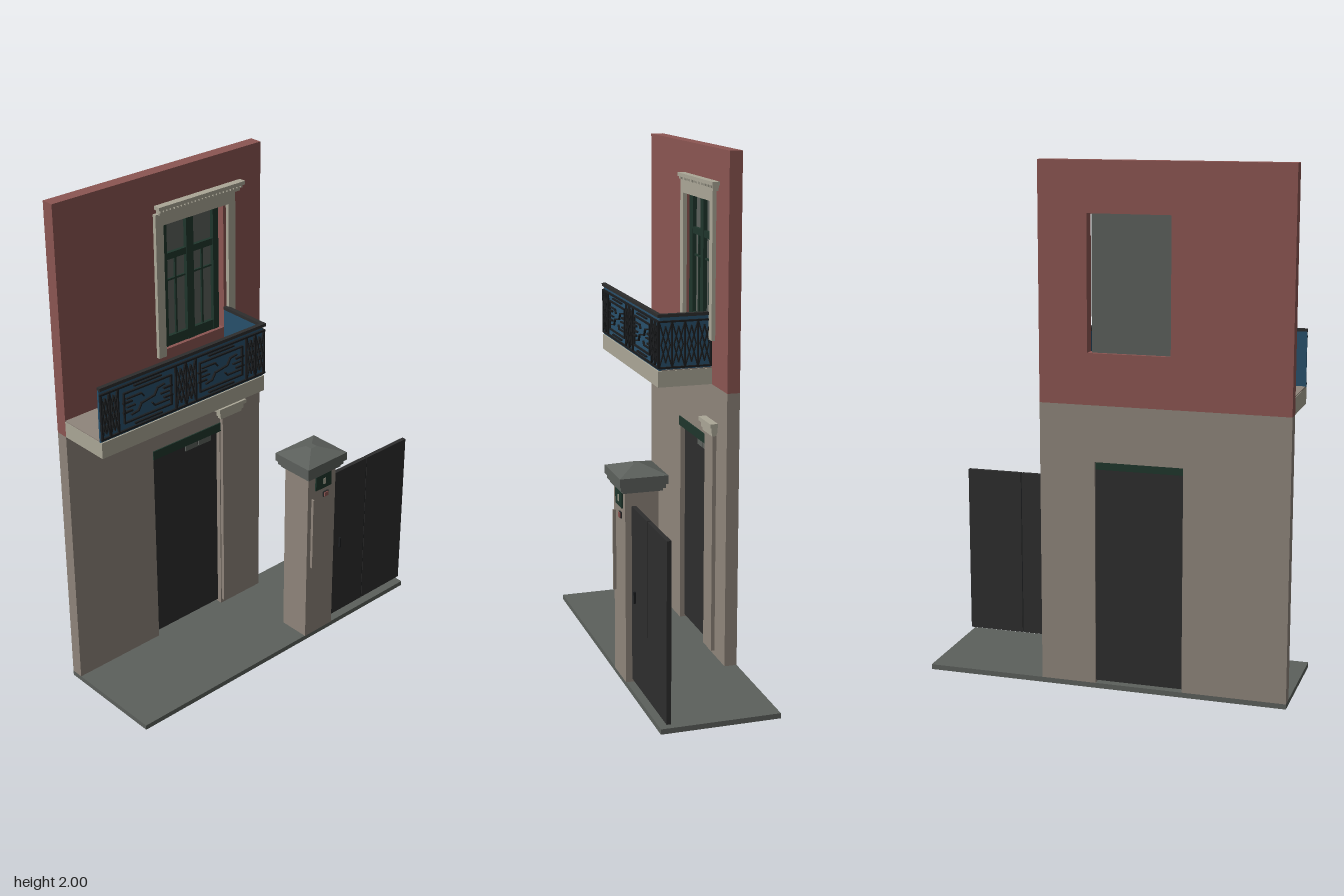
import * as THREE from 'three';

const mat = (name, color) => {
  const m = new THREE.MeshStandardMaterial({ color });
  m.name = name;
  return m;
};

export function createModel() {
  const red = mat('red plaster', 0x8c5652);
  const beige = mat('beige stone', 0x8f857b);
  const cream = mat('cream trim', 0xaba797);
  const grey = mat('grey stone and glass', 0x5c605c);
  const blue = mat('blue panel', 0x28506c);
  const charcoal = mat('charcoal metal', 0x2d2d2d);
  const green = mat('dark green', 0x1f362c);
  const iron = mat('black iron', 0x1b1d1f);

  const model = new THREE.Group();
  model.name = 'houseEntrance';
  const group = (name) => {
    const g = new THREE.Group();
    g.name = name;
    model.add(g);
    return g;
  };
  // Box given by its limits on each axis
  const box = (parent, name, m, x0, x1, y0, y1, z0, z1) => {
    const mesh = new THREE.Mesh(new THREE.BoxGeometry(x1 - x0, y1 - y0, z1 - z0), m);
    mesh.position.set((x0 + x1) / 2, (y0 + y1) / 2, (z0 + z1) / 2);
    mesh.name = name;
    parent.add(mesh);
    return mesh;
  };
  const outline = (pts, Type = THREE.Shape) => new Type(pts.map(([x, y]) => new THREE.Vector2(x, y)));
  const slab = (parent, name, m, shape, z, depth) => {
    const mesh = new THREE.Mesh(new THREE.ExtrudeGeometry(shape, { depth, bevelEnabled: false }), m);
    mesh.position.z = z;
    mesh.name = name;
    parent.add(mesh);
  };

  // Ground and walls with their openings
  box(model, 'ground', grey, -0.71, 0.71, 0, 0.02, -0.245, 0.21);
  const walls = group('walls');
  slab(walls, 'lowerWall', beige, outline([[-0.71, 0.02], [-0.31, 0.02], [-0.31, 0.89], [0.03, 0.89],
    [0.03, 0.02], [0.245, 0.02], [0.245, 1.105], [-0.71, 1.105]]), -0.245, 0.05);
  const upper = outline([[-0.71, 1.105], [0.245, 1.105], [0.245, 2], [-0.71, 2]]);
  upper.holes.push(outline([[-0.26, 1.3], [-0.26, 1.81], [0.058, 1.81], [0.058, 1.3]], THREE.Path));
  slab(walls, 'upperWall', red, upper, -0.245, 0.05);

  // Door, lintel and small plates
  const door = group('door');
  box(door, 'doorLeaf', charcoal, -0.31, 0.03, 0.03, 0.86, -0.237, -0.215);
  box(door, 'doorLintel', green, -0.312, 0.032, 0.853, 0.89, -0.237, -0.19);
  box(door, 'doorPlateLeft', grey, -0.135, -0.073, 0.816, 0.848, -0.215, -0.209);
  box(door, 'doorPlateRight', grey, -0.066, -0.004, 0.816, 0.848, -0.215, -0.209);

  // Pilaster beside the door
  const pilaster = group('pilaster');
  box(pilaster, 'shaft', beige, 0.034, 0.128, 0.04, 0.915, -0.196, -0.18);
  box(pilaster, 'capitalLow', cream, 0.022, 0.132, 0.915, 0.928, -0.196, -0.176);
  box(pilaster, 'capitalMiddle', cream, 0.014, 0.138, 0.928, 0.95, -0.196, -0.171);
  box(pilaster, 'capitalTop', cream, 0.005, 0.146, 0.95, 0.966, -0.196, -0.164);

  // Window
  const win = group('window');
  box(win, 'glass', grey, -0.26, 0.044, 1.3, 1.81, -0.23, -0.224);
  for (const [a, b] of [[-0.245, -0.205], [-0.112, -0.078], [0.018, 0.044]])
    box(win, 'stile', green, a, b, 1.3, 1.81, -0.224, -0.208);
  for (const [a, b] of [[1.3, 1.34], [1.648, 1.674], [1.798, 1.81]])
    box(win, 'rail', green, -0.245, 0.044, a, b, -0.224, -0.21);
  for (const x of [-0.159, -0.03]) {
    box(win, 'uprightBar', green, x - 0.004, x + 0.004, 1.34, 1.65, -0.224, -0.216);
    box(win, 'crossBar', green, x - 0.047, x + 0.047, 1.561, 1.568, -0.224, -0.216);
  }

  // Window surround with a stepped, toothed cornice
  const surround = group('windowSurround');
  box(surround, 'leftJamb', cream, -0.277, -0.241, 1.28, 1.81, -0.196, -0.18);
  box(surround, 'rightJamb', cream, 0.071, 0.105, 1.28, 1.81, -0.196, -0.18);
  box(surround, 'head', cream, -0.277, 0.105, 1.803, 1.85, -0.196, -0.18);
  box(surround, 'corniceLow', cream, -0.262, 0.125, 1.845, 1.858, -0.196, -0.175);
  box(surround, 'corniceTop', cream, -0.27, 0.142, 1.866, 1.88, -0.196, -0.166);
  for (let i = 0; i < 24; i++) {
    const x = -0.262 + i * 0.0168;
    box(surround, 'tooth', cream, x, x + 0.009, 1.856, 1.867, -0.196, -0.17);
  }

  // Balcony slab
  const balcony = group('balcony');
  box(balcony, 'balconySlab', cream, -0.71, 0.07, 1.105, 1.168, -0.195, 0.02);
  box(balcony, 'balconyFloor', beige, -0.709, 0.068, 1.168, 1.172, -0.195, 0.005);

  // Ironwork drawn flat: u runs along the railing, y is up
  const strip = (parent, u0, y0, u1, y1, w = 0.006, depth = 0.008) => {
    const m = new THREE.Mesh(new THREE.BoxGeometry(Math.hypot(u1 - u0, y1 - y0) + w, w, depth), iron);
    m.position.set((u0 + u1) / 2, (y0 + y1) / 2, 0);
    m.rotation.z = Math.atan2(y1 - y0, u1 - u0);
    m.name = 'ironBar';
    parent.add(m);
  };
  const path = (parent, pts, w) => pts.slice(1).forEach((p, i) => strip(parent, ...pts[i], ...p, w));
  const lo = 1.18, hi = 1.357, mid = (lo + hi) / 2;
  const lattice = (parent, a, b, count) => {
    const s = (b - a) / count;
    for (let i = 0; i < count; i++) {
      const u = a + i * s;
      path(parent, [[u, lo], [u, hi]]);
      path(parent, [[u, lo], [u + s, hi]], 0.004);
      path(parent, [[u, hi], [u + s, lo]], 0.004);
      path(parent, [[u + s / 2, lo + 0.02], [u + s * 0.85, mid], [u + s / 2, hi - 0.02],
        [u + s * 0.15, mid], [u + s / 2, lo + 0.02]], 0.004);
    }
    path(parent, [[b, lo], [b, hi]]);
  };
  const fretPanel = (parent, a, b) => {
    const l = a + 0.012, r = b - 0.012, c = (a + b) / 2;
    path(parent, [[l, lo + 0.03], [r, lo + 0.03], [r, hi - 0.03], [l, hi - 0.03], [l, lo + 0.03]]);
    for (const s of [-1, 1]) {
      const p = ([u, y]) => [c + s * u, mid + s * y];
      path(parent, [[0, 0], [0.03, 0.005], [0.045, 0.03], [0.075, 0.035]].map(p), 0.005);
      path(parent, [[0.095, -0.035], [0.03, -0.035], [0.02, -0.022]].map(p), 0.005);
      path(parent, [[0.06, 0], [0.095, 0]].map(p), 0.005);
      for (const y of [-0.02, 0.018]) path(parent, [[0.075, y], [0.11, y]].map(p), 0.007);
      path(parent, [[-0.06, 0.075], [0.06, 0.075]].map(p), 0.006);
    }
  };
  const frontIron = group('frontIronwork');
  frontIron.position.z = 0.018;
  for (const y of [lo, hi]) strip(frontIron, -0.707, y, 0.07, y, 0.007);
  lattice(frontIron, -0.705, -0.63, 2);
  fretPanel(frontIron, -0.615, -0.375);
  lattice(frontIron, -0.365, -0.27, 2);
  fretPanel(frontIron, -0.262, -0.03);
  lattice(frontIron, -0.02, 0.068, 2);
  const sideIron = group('sideIronwork');
  sideIron.position.x = 0.07;
  sideIron.rotation.y = Math.PI / 2;
  for (const y of [lo, hi]) strip(sideIron, -0.018, y, 0.19, y, 0.007);
  lattice(sideIron, -0.016, 0.19, 4);

  // Balcony panels and handrail
  box(balcony, 'frontPanel', blue, -0.71, 0.066, 1.168, 1.376, 0.006, 0.014);
  box(balcony, 'sidePanel', blue, 0.058, 0.066, 1.16, 1.376, -0.195, 0.014);
  box(balcony, 'frontHandrail', charcoal, -0.71, 0.075, 1.374, 1.386, 0.006, 0.023);
  box(balcony, 'sideHandrail', charcoal, 0.056, 0.075, 1.374, 1.386, -0.195, 0.01);

  // Gate pillar with a stepped cap and hipped top
  const pillar = group('gatePillar');
  box(pillar, 'pillarShaft', beige, 0.128, 0.278, 0.02, 0.772, 0.083, 0.212);
  box(pillar, 'capLow', grey, 0.117, 0.291, 0.768, 0.78, 0.07, 0.225);
  box(pillar, 'capMiddle', grey, 0.108, 0.3, 0.78, 0.797, 0.062, 0.233);
  box(pillar, 'capTop', grey, 0.1, 0.31, 0.797, 0.83, 0.055, 0.24);
  const hip = new THREE.CylinderGeometry(0.15 * Math.SQRT1_2, Math.SQRT1_2, 0.03, 4, 1).toNonIndexed();
  hip.rotateY(Math.PI / 4).scale(0.21, 1, 0.185);
  hip.computeVertexNormals();
  const roof = new THREE.Mesh(hip, grey);
  roof.position.set(0.205, 0.845, 0.1475);
  roof.name = 'capRoof';
  pillar.add(roof);
  box(pillar, 'signPlate', green, 0.166, 0.25, 0.7, 0.762, 0.211, 0.218);
  box(pillar, 'signMark', cream, 0.206, 0.218, 0.718, 0.744, 0.217, 0.22);
  box(pillar, 'bellPlate', charcoal, 0.209, 0.235, 0.656, 0.68, 0.211, 0.217);
  box(pillar, 'bellButton', red, 0.212, 0.232, 0.659, 0.677, 0.215, 0.221);
  box(pillar, 'pillarRod', beige, 0.147, 0.154, 0.35, 0.667, 0.211, 0.224);

  // Gate leaves with a seam and a handle
  const gate = group('gate');
  box(gate, 'nearLeaf', charcoal, 0.284, 0.478, 0.035, 0.716, 0.172, 0.189);
  box(gate, 'farLeaf', charcoal, 0.482, 0.71, 0.035, 0.716, 0.172, 0.189);
  box(gate, 'seam', iron, 0.477, 0.483, 0.036, 0.715, 0.174, 0.187);
  box(gate, 'handle', iron, 0.331, 0.338, 0.355, 0.4, 0.188, 0.198);
  return model;
}
